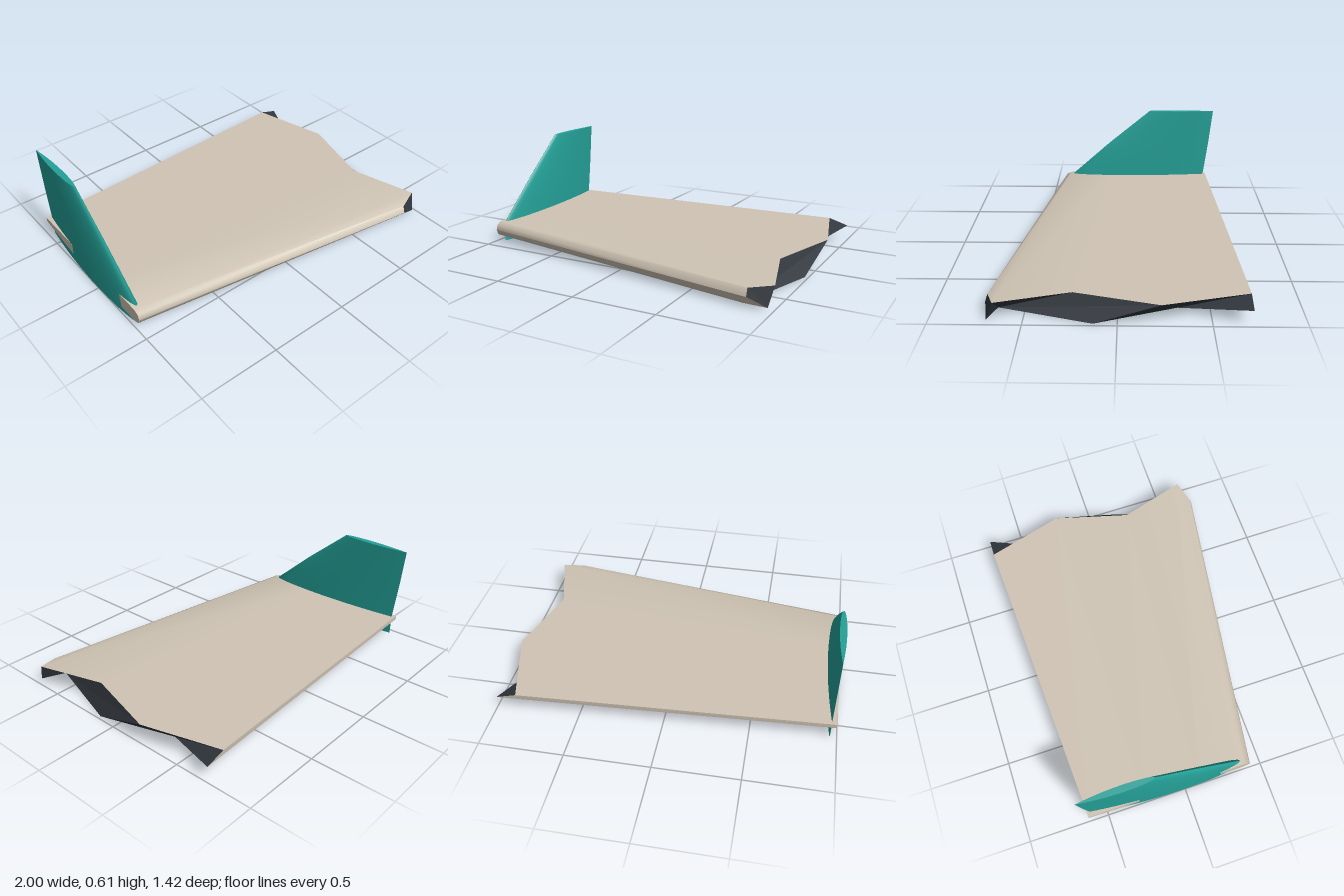
import * as THREE from 'three';
import { toCreasedNormals } from 'three/addons/utils/BufferGeometryUtils.js';

const mat = (name, color) => {
  const m = new THREE.MeshStandardMaterial({ color, side: THREE.DoubleSide });
  m.name = name;
  return m;
};

// Mesh from triangles of [x, y, z] corners, smooth below the crease angle
function mesh(name, triangles, material, crease) {
  const geo = new THREE.BufferGeometry();
  geo.setAttribute('position', new THREE.Float32BufferAttribute(triangles.flat(2), 3));
  const m = new THREE.Mesh(toCreasedNormals(geo, crease), material);
  m.name = name;
  return m;
}

// Skin between successive closed rings of equal length
function loft(rings) {
  const tris = [];
  for (let r = 0; r < rings.length - 1; r++) {
    const a = rings[r], b = rings[r + 1], n = a.length;
    for (let i = 0; i < n; i++) {
      const j = (i + 1) % n;
      tris.push([a[i], a[j], b[j]], [a[i], b[j], b[i]]);
    }
  }
  return tris;
}

// Flat lid over a convex ring
function lid(ring, reversed) {
  const tris = [];
  for (let i = 1; i < ring.length - 1; i++) {
    tris.push(reversed ? [ring[0], ring[i + 1], ring[i]] : [ring[0], ring[i], ring[i + 1]]);
  }
  return tris;
}

export function createModel() {
  const group = new THREE.Group();
  const beige = mat('beige panel', 0xcfc4b4);
  const teal = mat('teal fin', 0x24a198);
  const dark = mat('dark broken core', 0x30363d);

  // Wing: root section as [z, y, x], where x jumps in and out along the torn edge
  const section = [
    [-0.71, 0.125, 0.87], [-0.23, 0.125, 1.0], [0.24, 0.125, 0.87], [0.65, 0.125, 0.99],
    [0.695, 0.105, 0.86], [0.71, 0.06, 0.86], [0.69, 0.015, 0.97], [0.65, 0, 0.82],
    [0.13, 0, 0.98], [-0.28, 0.02, 0.84], [-0.71, 0.09, 0.99],
  ];
  const taper = 0.735;
  const root = section.map(([z, y, x]) => [x, y, z]);
  const tip = section.map(([z, y]) => [-0.99, 0.125 - (0.125 - y) * taper, -0.62 + (z + 0.71) * taper]);
  group.add(mesh('wingPanel', [...loft([tip, root]), ...lid(tip, true)], beige, 0.9));

  // Jagged broken face closing the root
  const facets = [
    [0, 9, 10], [0, 8, 9], [0, 1, 8], [1, 7, 8], [1, 2, 7],
    [2, 3, 7], [3, 6, 7], [3, 4, 6], [4, 5, 6],
  ];
  group.add(mesh('brokenEdge', facets.map((f) => f.map((i) => root[i])), dark, 0.01));

  // Tip fin: round-nosed sections stacked upward as [y, front z, back z, half thickness]
  const steps = 14;
  const thickness = (t) => (t < 0.4 ? Math.sqrt(1 - ((0.4 - t) / 0.4) ** 2) : 1 - ((t - 0.4) / 0.6) ** 2);
  const finRings = [
    [0, 0.38, -0.6, 0.04], [0.12, 0.37, -0.603, 0.039], [0.37, 0.09, -0.635, 0.029], [0.61, -0.2, -0.66, 0.02],
  ].map(([y, front, back, half]) => {
    const ring = [];
    for (let i = 0; i < steps * 2; i++) {
      const u = i <= steps ? i / steps : 2 - i / steps;
      const t = (1 - Math.cos(Math.PI * u)) / 2;
      const side = i <= steps ? 1 : -1;
      ring.push([-0.96 + side * half * thickness(t), y, front + (back - front) * t]);
    }
    return ring;
  });
  const finTris = [...loft(finRings), ...lid(finRings[0], true), ...lid(finRings[3], false)];
  group.add(mesh('tipFin', finTris, teal, 0.7));

  return group;
}
